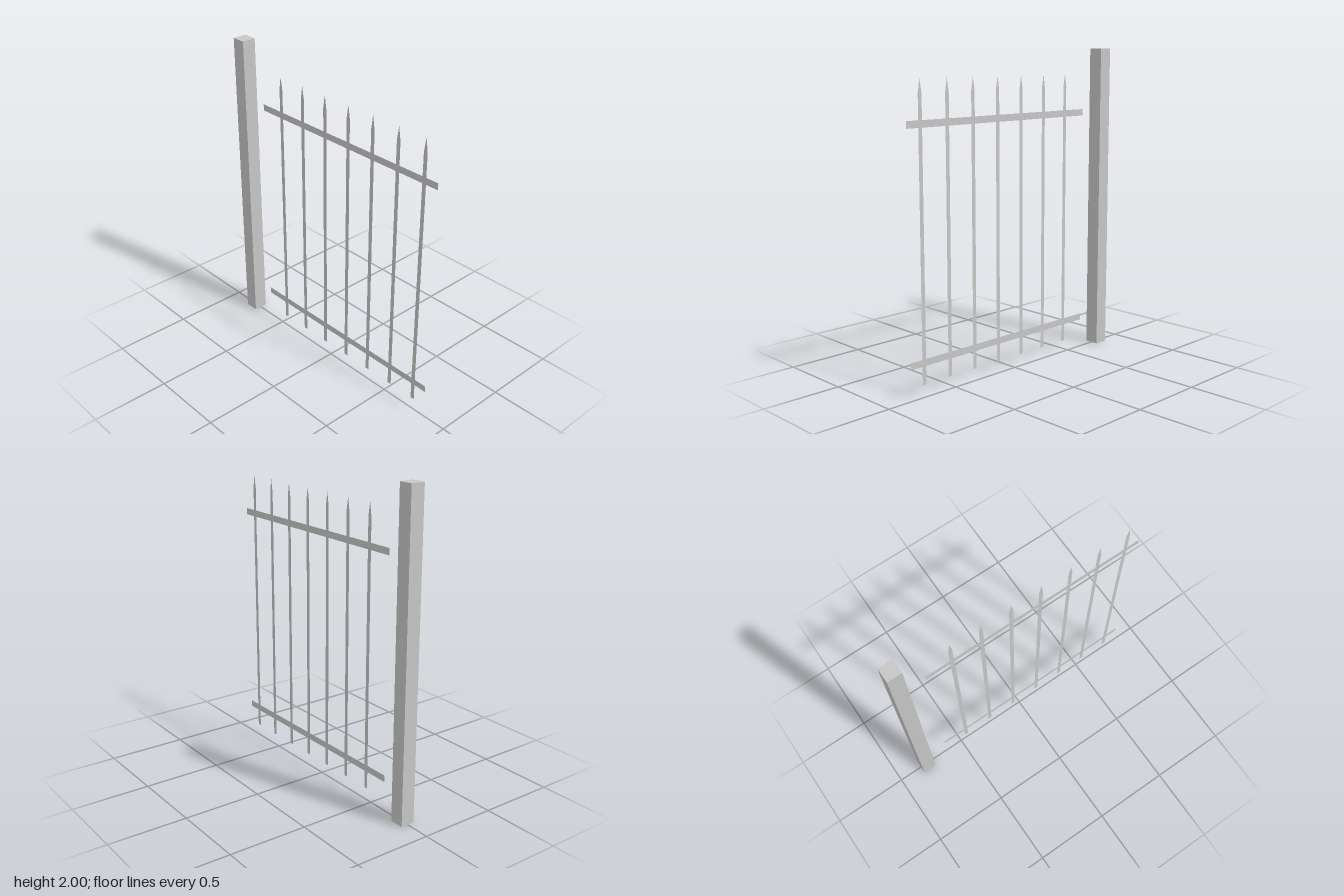
import * as THREE from 'three';

export function createModel() {
  const model = new THREE.Group();
  const grey = new THREE.MeshStandardMaterial({ color: 0xc6c6c6, side: THREE.DoubleSide });
  grey.name = 'light grey';

  function add(name, geometry, x, y) {
    const mesh = new THREE.Mesh(geometry, grey);
    mesh.name = name;
    mesh.position.set(x, y, 0);
    model.add(mesh);
  }

  // Square hollow post: four walls and a top, open underneath
  const postGeometry = new THREE.BoxGeometry(0.092, 2, 0.092);
  const bottom = postGeometry.groups[3];
  const indices = Array.from(postGeometry.index.array);
  indices.splice(bottom.start, bottom.count);
  postGeometry.setIndex(indices);
  postGeometry.clearGroups();
  add('post', postGeometry, -0.792, 1);

  // Two flat horizontal rails
  const railGeometry = new THREE.PlaneGeometry(1.461, 0.042);
  add('lowerRail', railGeometry, 0.1075, 0.209);
  add('upperRail', railGeometry, 0.1075, 1.591);

  // Seven flat pickets with pointed tips
  const w = 0.0135;
  const outline = new THREE.Shape([
    new THREE.Vector2(-w, 0),
    new THREE.Vector2(w, 0),
    new THREE.Vector2(w, 1.683),
    new THREE.Vector2(0, 1.768),
    new THREE.Vector2(-w, 1.683),
  ]);
  const picketGeometry = new THREE.ShapeGeometry(outline);
  for (let i = 0; i < 7; i++) {
    add(`picket${i + 1}`, picketGeometry, -0.449 + i * 0.198, 0.077);
  }

  return model;
}
